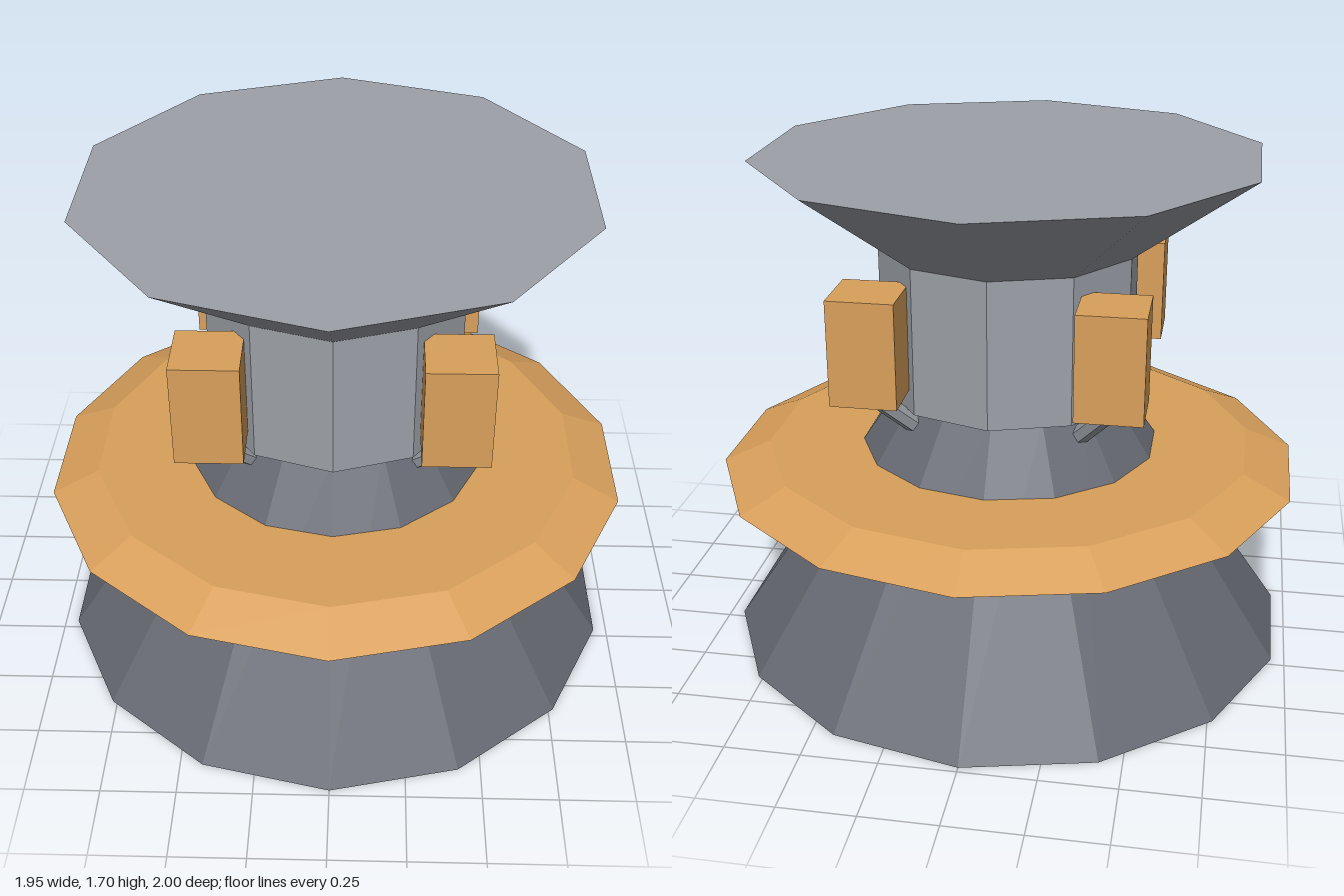
import * as THREE from 'three';

const material = (name, color) => {
  const m = new THREE.MeshStandardMaterial({ color, flatShading: true });
  m.name = name;
  return m;
};

export function createModel() {
  const model = new THREE.Group();
  model.name = 'platformTower';
  const darkGrey = material('darkGrey', 0x676a73);
  const lightGrey = material('lightGrey', 0x9da1a8);
  const orange = material('orange', 0xd9a05b);

  const add = (name, geometry, mat) => {
    const mesh = new THREE.Mesh(geometry, mat);
    mesh.name = name;
    model.add(mesh);
    return mesh;
  };

  // Faceted frustum between two heights
  const frustum = (name, rTop, rBottom, y0, y1, sides, mat) => {
    const g = new THREE.CylinderGeometry(rTop, rBottom, y1 - y0, sides);
    return add(name, g.translate(0, (y0 + y1) / 2, 0), mat);
  };

  // Main stack
  frustum('base', 0.37, 0.98, 0, 0.9, 14, darkGrey);
  frustum('ring', 0.84, 1, 0.62, 0.69, 14, orange);
  frustum('column', 0.44, 0.44, 0.9, 1.4, 10, lightGrey);
  frustum('topDish', 0.85, 0.44, 1.4, 1.7, 10, lightGrey);

  // Four corner pods, each with a slanted strut down to the base
  const up = new THREE.Vector3(0, 1, 0);
  for (const sx of [-1, 1]) {
    for (const sz of [-1, 1]) {
      add('pod', new THREE.BoxGeometry(0.22, 0.355, 0.22), orange)
        .position.set(sx * 0.39, 1.153, sz * 0.39);

      const low = new THREE.Vector3(sx * 0.275, 0.83, sz * 0.275);
      const high = new THREE.Vector3(sx * 0.4, 0.99, sz * 0.4);
      const dir = high.clone().sub(low);
      const strut = add('strut', new THREE.CylinderGeometry(0.032, 0.032, dir.length(), 6), lightGrey);
      strut.position.copy(low).add(high).multiplyScalar(0.5);
      strut.quaternion.setFromUnitVectors(up, dir.normalize());
    }
  }
  return model;
}
